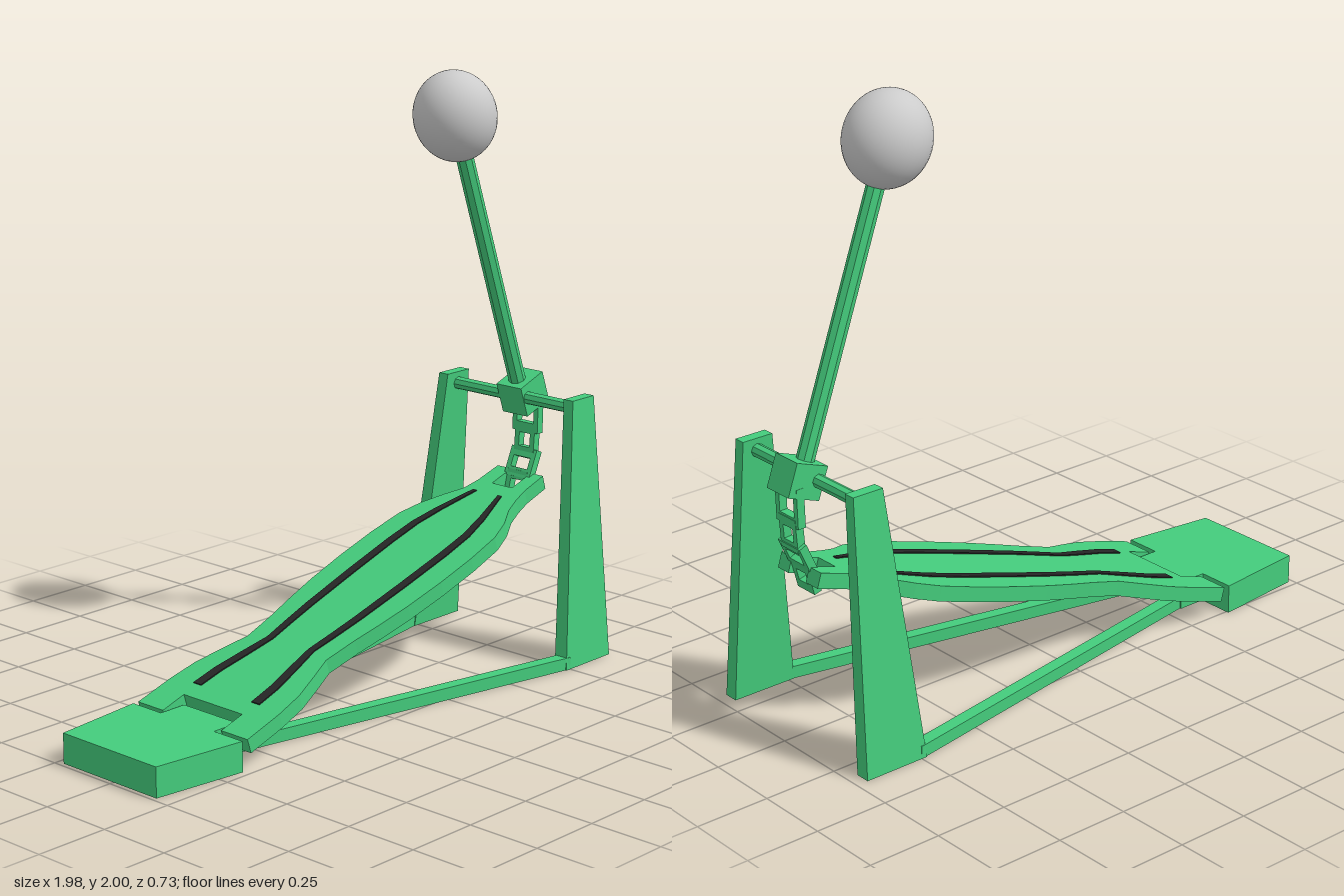
import * as THREE from 'three';

const green = new THREE.MeshStandardMaterial({ color: 0x44cc7c, flatShading: true });
const black = new THREE.MeshStandardMaterial({ color: 0x262626 });
const grey = new THREE.MeshStandardMaterial({ color: 0xcccccc });

const TILT = Math.atan(0.311);   // slope of the footboard
const LEAN = 0.345;              // lean of the beater
const ZC = -0.016;               // footboard centre line

function add(parent, name, geometry, material = green) {
  const mesh = new THREE.Mesh(geometry, material);
  mesh.name = name;
  parent.add(mesh);
  return mesh;
}

// Flat plate from an [x, z] outline, from y = 0 up to y = height
function plate(points, height) {
  const shape = new THREE.Shape(points.map(([x, z]) => new THREE.Vector2(x, -z)));
  return new THREE.ExtrudeGeometry(shape, { depth: height, bevelEnabled: false }).rotateX(-Math.PI / 2);
}

// Cylinder between two points
function rod(a, b, radius, sides) {
  const from = new THREE.Vector3(...a), dir = new THREE.Vector3(...b).sub(from);
  const g = new THREE.CylinderGeometry(radius, radius, dir.length(), sides);
  g.applyQuaternion(new THREE.Quaternion().setFromUnitVectors(new THREE.Vector3(0, 1, 0), dir.clone().normalize()));
  return g.translate(...from.addScaledVector(dir, 0.5).toArray());
}

// Tapered, inward-leaning post
function post(side) {
  const g = new THREE.BoxGeometry(1, 1, 1), p = g.attributes.position;
  for (let i = 0; i < p.count; i++) {
    const top = p.getY(i) > 0, right = p.getX(i) > 0;
    const outer = p.getZ(i) * side > 0;
    const x = right ? (top ? 0.935 : 0.96) : (top ? 0.825 : 0.73);
    const z = outer ? (top ? 0.294 : 0.365) : (top ? 0.255 : 0.315);
    p.setXYZ(i, x, top ? 0.9 : 0, z * side);
  }
  return g;
}

// Rectangular chain link lying in the y-z plane
function link(width, length, bar, depth) {
  const w = width / 2, h = length / 2;
  const rect = (C, a, b) => new C([[-a, -b], [a, -b], [a, b], [-a, b]].map(([x, y]) => new THREE.Vector2(x, y)));
  const s = rect(THREE.Shape, w, h);
  s.holes.push(rect(THREE.Path, w - bar * 0.6, h - bar));
  return new THREE.ExtrudeGeometry(s, { depth, bevelEnabled: false }).translate(0, 0, -depth / 2).rotateY(Math.PI / 2);
}

export function createModel() {
  const model = new THREE.Group();
  model.name = 'drumPedal';

  // Heel block with the hinge tongue
  add(model, 'heelPlate', plate([
    [-0.985, -0.225], [-0.985, 0.188], [-0.66, 0.226], [-0.66, 0.102], [-0.56, 0.102],
    [-0.56, -0.134], [-0.66, -0.134], [-0.66, -0.26],
  ], 0.1));

  // Frame: posts and the bars running back to the heel
  for (const side of [1, -1]) {
    const label = side > 0 ? 'left' : 'right';
    add(model, label + 'Post', post(side));
    const end = side > 0 ? 0.092 : -0.122;
    const bar = [[0.75, 0.365 * side], [0.75, 0.32 * side], [-0.6, end - 0.045 * side], [-0.6, end]];
    add(model, label + 'BaseBar', plate(side > 0 ? bar : bar.reverse(), 0.042));
  }

  // Tilted footboard, drawn in top-view x and stretched along the slope
  const board = new THREE.Group();
  board.name = 'footboard';
  board.position.set(-0.64, 0.1, 0);
  board.rotation.z = TILT;
  model.add(board);
  const along = ([x, z]) => [(x + 0.64) / Math.cos(TILT), z];

  const halfWidths = [
    [-0.64, 0.243], [-0.5, 0.241], [-0.4, 0.23], [-0.3, 0.2], [-0.22, 0.174], [-0.1, 0.185], [0, 0.2],
    [0.12, 0.214], [0.27, 0.222], [0.42, 0.222], [0.55, 0.212], [0.63, 0.185], [0.7, 0.145],
    [0.76, 0.115], [0.82, 0.103], [0.92, 0.1],
  ];
  const edge = (s) => halfWidths.map(([x, w]) => [x, (x > 0.75 ? ZC / 3 : ZC) + s * w]);
  const outline = [
    ...edge(1), [0.92, 0.042], [0.82, 0.042], [0.82, -0.046], [0.92, -0.046],
    ...edge(-1).reverse(), [-0.64, -0.146], [-0.549, -0.146], [-0.549, 0.113], [-0.64, 0.113],
  ];
  add(board, 'footPlate', plate(outline.map(along), 0.05).translate(0, -0.05, 0));

  // Two dark grip strips: x, offset from centre, half thickness
  const strip = [
    [-0.49, 0.129, 0.017], [-0.4, 0.125, 0.017], [-0.3, 0.108, 0.016], [-0.2, 0.091, 0.013], [-0.1, 0.1, 0.014],
    [0, 0.107, 0.015], [0.2, 0.114, 0.016], [0.4, 0.117, 0.016], [0.52, 0.113, 0.015], [0.62, 0.094, 0.013], [0.76, 0.055, 0.008],
  ];
  for (const side of [1, -1]) {
    const line = (s) => strip.map(([x, z, h]) => [x, ZC + side * (z + s * h)]);
    const pts = [...line(1), ...line(-1).reverse()].map(along);
    add(board, 'gripStrip', plate(pts, 0.007).translate(0, -0.003, 0), black);
  }

  // Axle and the rocker hub
  add(model, 'axle', rod([0.882, 0.86, -0.27], [0.882, 0.86, 0.27], 0.022, 8));
  const hub = add(model, 'hub', new THREE.BoxGeometry(0.12, 0.11, 0.108));
  hub.position.set(0.92, 0.866, 0);
  hub.rotation.z = LEAN;

  // Chain from hub to the tip of the footboard
  const path = [[0.945, 0.84], [0.955, 0.735], [0.938, 0.65], [0.915, 0.575], [0.885, 0.5]];
  for (let i = 0; i < path.length - 1; i++) {
    const [ax, ay] = path[i], [bx, by] = path[i + 1];
    const length = Math.hypot(ax - bx, ay - by) + 0.025;
    const m = add(model, 'chainLink', link(i % 2 ? 0.085 : 0.11, length, 0.032, 0.028));
    m.position.set((ax + bx) / 2, (ay + by) / 2, 0);
    m.rotation.z = Math.atan2(bx - ax, ay - by) + (i % 2 ? 0.12 : -0.12);
  }

  // Beater: shaft and slightly elongated head
  add(model, 'beaterShaft', rod([0.9, 0.885, 0], [0.597, 1.73, 0], 0.029, 8));
  const head = add(model, 'beaterHead', new THREE.SphereGeometry(1, 40, 28), grey);
  head.scale.set(0.137, 0.152, 0.137);
  head.rotation.z = LEAN;
  head.position.set(0.555, 1.85, 0);

  return model;
}
